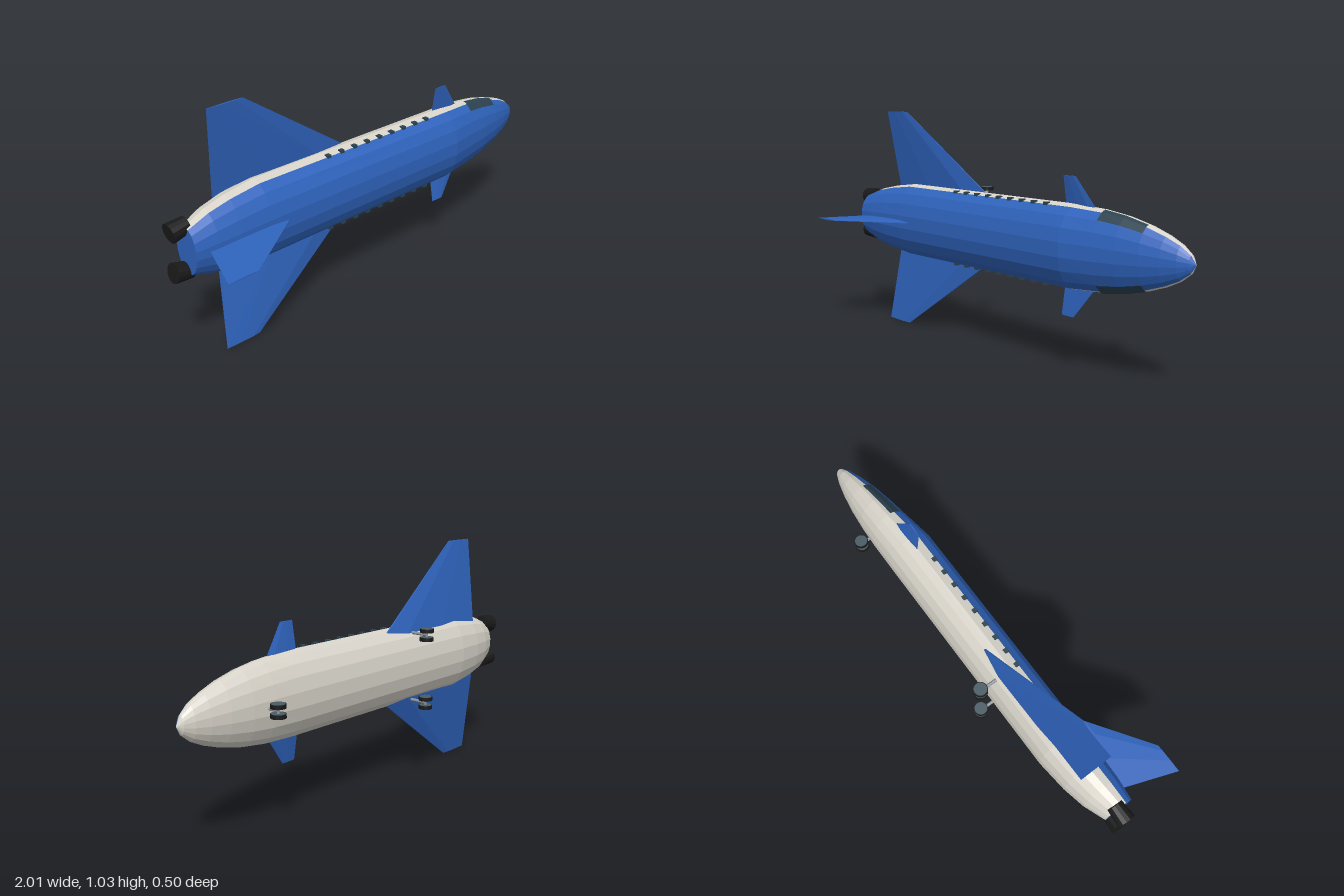
import * as THREE from 'three';
import { ConvexGeometry } from 'three/addons/geometries/ConvexGeometry.js';

const paint = (color) => new THREE.MeshStandardMaterial({ color, flatShading: true });
const DEG = Math.PI / 180;

// Fuselage stations along x: [x, half width in y, centre z, half height in z]
const STATIONS = [
  [-0.945, 0.1, -0.045, 0.065], [-0.85, 0.135, -0.058, 0.088], [-0.75, 0.155, -0.067, 0.1],
  [-0.61, 0.172, -0.0735, 0.1075], [0.45, 0.172, -0.0735, 0.1075], [0.6, 0.163, -0.085, 0.095],
  [0.7, 0.149, -0.0905, 0.0855], [0.8, 0.125, -0.095, 0.072], [0.88, 0.097, -0.099, 0.055],
  [0.94, 0.068, -0.102, 0.038], [0.98, 0.036, -0.105, 0.02], [1, 0, -0.106, 0],
];

// Skin lofted over elliptical stations between the listed angles (degrees, 90 = top)
function skin(stations, angles, swell = 1) {
  const pos = [];
  const at = ([x, w, z, h], deg) =>
    [x, w * swell * Math.cos(deg * DEG), z + h * swell * Math.sin(deg * DEG)];
  for (let i = 0; i < stations.length - 1; i++) {
    for (let j = 0; j < angles.length - 1; j++) {
      const a = at(stations[i], angles[j]), b = at(stations[i], angles[j + 1]);
      const c = at(stations[i + 1], angles[j + 1]), d = at(stations[i + 1], angles[j]);
      if (stations[i][1] > 0) pos.push(...a, ...b, ...c);
      if (stations[i + 1][1] > 0) pos.push(...a, ...c, ...d);
      else if (stations[i][1] === 0) continue;
    }
  }
  const geo = new THREE.BufferGeometry();
  geo.setAttribute('position', new THREE.Float32BufferAttribute(pos, 3));
  geo.computeVertexNormals();
  return geo;
}
const sweep = (from, to, step = 20) =>
  Array.from({ length: Math.round((to - from) / step) + 1 }, (_, i) => from + i * step);

// Tapered aerofoil between root and tip sections: [lead x, trail x, span, offset, thickness]
function aerofoil(root, tip, place) {
  const points = [];
  for (const [lead, trail, span, offset, thick] of [root, tip]) {
    for (const [t, k] of [[0, 0.2], [0.22, 1], [0.6, 0.9], [1, 0.15]]) {
      for (const s of [-0.5, 0.5]) {
        points.push(place(lead + (trail - lead) * t, span, offset + s * k * thick));
      }
    }
  }
  return new ConvexGeometry(points);
}

export function createModel() {
  const model = new THREE.Group();
  model.name = 'spaceplane';
  const craft = new THREE.Group();
  craft.name = 'airframe';
  craft.position.y = 0.515;
  model.add(craft);

  const blue = paint(0x2f64be), white = paint(0xd8d4ca), glass = paint(0x2c4350);
  const black = paint(0x1a1a1a), metal = paint(0x8d959c), hubGrey = paint(0x4a5c66);
  const add = (name, geo, mat, x = 0, y = 0, z = 0, parent = craft) => {
    const mesh = new THREE.Mesh(geo, mat);
    mesh.name = name;
    mesh.position.set(x, y, z);
    parent.add(mesh);
    return mesh;
  };

  // Two-tone hull with a flat tail
  add('upperHull', skin(STATIONS, sweep(20, 160)), blue);
  add('lowerHull', skin(STATIONS, sweep(160, 380)), white);
  const [tx, , tz] = STATIONS[0];
  add('tailBulkhead', skin([[tx, 0, tz, 0], STATIONS[0]], sweep(0, 360)), blue);

  // Cockpit panes follow the hull
  const nose = STATIONS.slice(5, 8);
  add('leftCockpitWindow', skin(nose, [9, 20, 40], 1.015), glass);
  add('rightCockpitWindow', skin(nose, [140, 160, 171], 1.015), glass);

  // Fin on top of the tail
  add('tailFin', aerofoil([-0.48, -0.88, 0, 0, 0.018], [-0.84, -0.97, 0.25, 0, 0.006],
    (x, span, off) => new THREE.Vector3(x, off, span)), blue);

  // Paired parts
  for (const side of [1, -1]) {
    const label = side > 0 ? 'left' : 'right';
    const flat = (x, span, off) => new THREE.Vector3(x, side * span, off);
    add(label + 'Wing', aerofoil([-0.085, -0.775, 0.13, -0.112, 0.04],
      [-0.645, -0.805, 0.515, -0.053, 0.008], flat), blue);
    add(label + 'Canard', aerofoil([0.57, 0.39, 0.13, -0.082, 0.014],
      [0.455, 0.39, 0.282, -0.058, 0.005], flat), blue);

    // Cabin windows
    for (let i = 0; i < 9; i++) {
      add(label + 'CabinWindow', new THREE.BoxGeometry(0.02, 0.014, 0.02), glass,
        -0.26 + i * 0.0715, side * 0.163, -0.042);
    }

    // Engine nozzle, slightly canted
    const nozzle = add(label + 'Engine', new THREE.CylinderGeometry(0.034, 0.041, 0.075, 14),
      black, -0.962, side * 0.089, -0.065);
    nozzle.rotation.z = -Math.PI / 2 + side * 0.16;
  }

  // Landing gear: strut, axle and twin wheels
  const gear = (name, x, y, top) => {
    const leg = new THREE.Group();
    leg.name = name;
    leg.position.set(x, y, -0.222);
    craft.add(leg);
    const length = top + 0.222;
    add('strut', new THREE.CylinderGeometry(0.007, 0.007, length, 10), metal, 0, 0, length / 2, leg)
      .rotation.x = Math.PI / 2;
    add('axle', new THREE.CylinderGeometry(0.006, 0.006, 0.04, 8), metal, 0, 0, 0, leg);
    for (const s of [1, -1]) {
      add('tyre', new THREE.CylinderGeometry(0.03, 0.03, 0.016, 18), black, 0, s * 0.0185, 0, leg);
      add('hub', new THREE.CylinderGeometry(0.027, 0.027, 0.0175, 18), hubGrey, 0, s * 0.0185, 0, leg);
    }
  };
  gear('noseGear', 0.63, 0, -0.17);
  gear('leftMainGear', -0.26, 0.15, -0.145);
  gear('rightMainGear', -0.26, -0.15, -0.145);

  return model;
}
